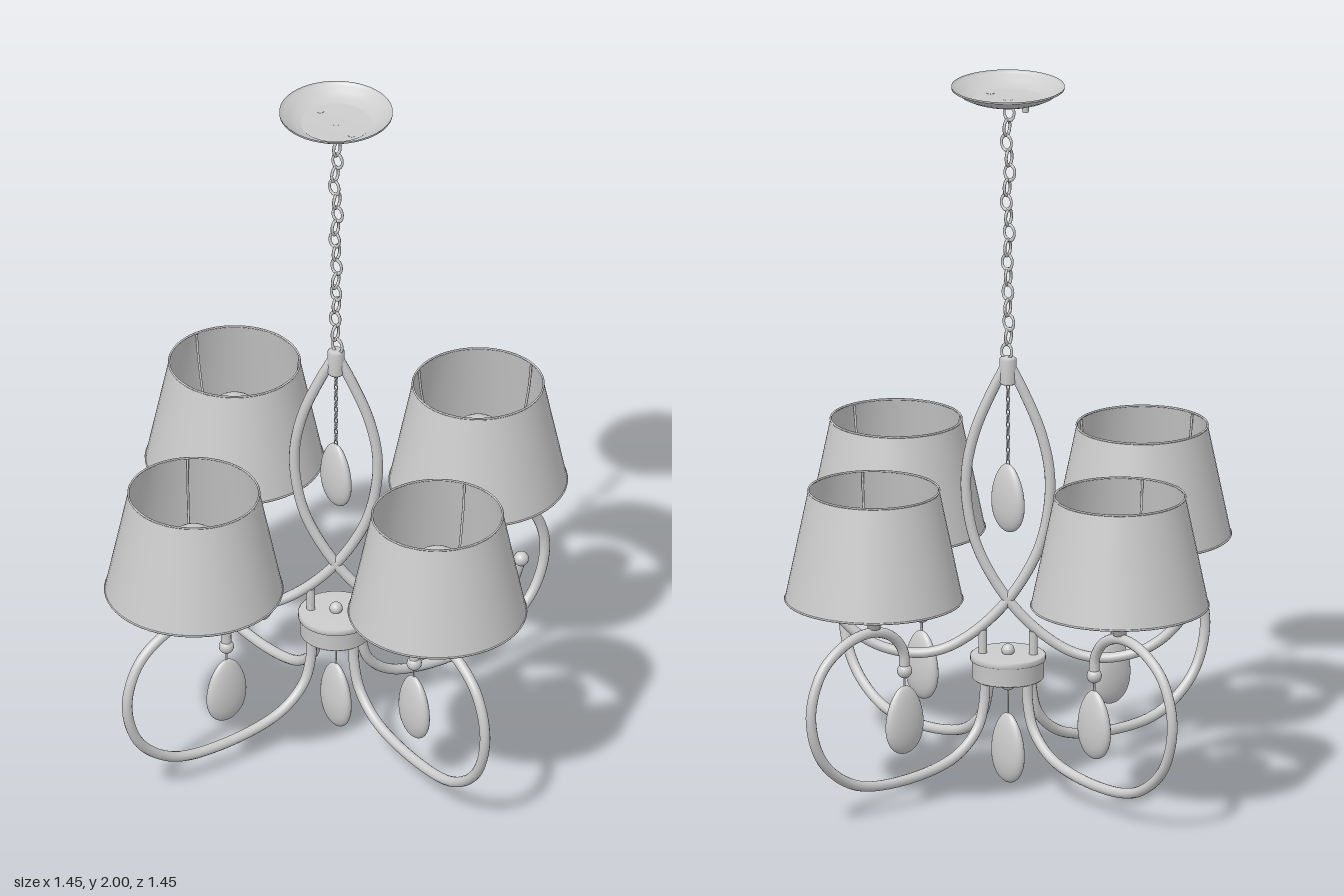
import * as THREE from 'three';

const grey = new THREE.MeshStandardMaterial({ color: 0xcccccc });
const thin = new THREE.MeshStandardMaterial({ color: 0xcccccc, side: THREE.DoubleSide });

function add(parent, name, geometry, x = 0, y = 0, z = 0, material = grey) {
  const mesh = new THREE.Mesh(geometry, material);
  mesh.name = name;
  mesh.position.set(x, y, z);
  parent.add(mesh);
  return mesh;
}

const lathe = (pts, sides = 40) =>
  new THREE.LatheGeometry(pts.map(([r, y]) => new THREE.Vector2(r, y)), sides);

// Round bar through points given in the XY plane
function bar(pts, radius, segments = 90, sides = 12) {
  const curve = new THREE.CatmullRomCurve3(pts.map(([x, y]) => new THREE.Vector3(x, y, 0)), false, 'centripetal');
  return new THREE.TubeGeometry(curve, segments, radius, sides);
}

// Oval chain hanging from y = top to y = bottom, each link turned a quarter from the last
function chain(parent, name, top, bottom, count, width, wire, sway) {
  const group = new THREE.Group();
  group.name = name;
  const step = (top - bottom) / count;
  const link = new THREE.TorusGeometry(width, wire, 6, 18);
  link.scale(1, (step * 0.5 + wire * 1.5) / (width + wire), 1);
  for (let i = 0; i < count; i++) {
    const mesh = add(group, 'chainLink', link, sway * Math.sin(i * 1.3), top - (i + 0.5) * step, sway * Math.cos(i * 1.7));
    mesh.rotation.y = (i % 2) * Math.PI / 2 + 0.35;
    mesh.rotation.z = sway * 25 * Math.sin(i * 2.1);
  }
  parent.add(group);
}

// Flattened teardrop, 0.195 tall, hanging down from its origin
function pendantGeometry() {
  const pts = [];
  for (let i = 0; i <= 24; i++) {
    const a = (i / 24) * Math.PI;
    pts.push([0.064 * Math.sin(a) * (1 - 0.16 * Math.cos(Math.PI - a)), -0.0975 - 0.0975 * Math.cos(a)]);
  }
  const g = lathe(pts, 28);
  g.scale(1, 1, 0.4);
  return g;
}
const pendant = pendantGeometry();

// One lamp on its scroll arm, pointing along +x
function makeArm() {
  const arm = new THREE.Group();
  arm.name = 'lampArm';
  add(arm, 'scrollArm', bar([
    [0.082, 0.32], [0.085, 0.25], [0.11, 0.175], [0.19, 0.11], [0.38, 0.078], [0.55, 0.1], [0.665, 0.19],
    [0.705, 0.325], [0.665, 0.445], [0.58, 0.508], [0.49, 0.525], [0.415, 0.5], [0.375, 0.45], [0.37, 0.4],
  ], 0.0145));
  add(arm, 'armFinial', new THREE.SphereGeometry(0.021, 18, 12), 0.37, 0.393);
  add(arm, 'pendantWire', new THREE.CylinderGeometry(0.003, 0.003, 0.05, 6), 0.37, 0.362);
  add(arm, 'pendant', pendant, 0.37, 0.35);

  const lamp = new THREE.Group();
  lamp.name = 'lamp';
  lamp.position.x = 0.48;
  arm.add(lamp);
  add(lamp, 'socketCup', lathe([
    [0, 0.535], [0.018, 0.535], [0.018, 0.562], [0.034, 0.564], [0.042, 0.575], [0.044, 0.584], [0.056, 0.588],
    [0.066, 0.6], [0.07, 0.62], [0.074, 0.624], [0.074, 0.632], [0.045, 0.634], [0.045, 0.68], [0, 0.68],
  ]));
  add(lamp, 'bulb', new THREE.SphereGeometry(0.085, 28, 20), 0, 0.735);
  add(lamp, 'shade', lathe([[0.245, 0.62], [0.18, 0.935]], 56), 0, 0, 0, thin);
  for (const [r, y] of [[0.244, 0.622], [0.18, 0.933]]) {
    add(lamp, 'shadeRim', new THREE.TorusGeometry(r, 0.003, 6, 56), 0, y).rotation.x = Math.PI / 2;
  }
  // Three wires hold the shade from its upper rim
  for (let i = 0; i < 3; i++) {
    add(lamp, 'shadeWire', bar([[0.179, 0.93], [0.168, 0.84], [0.12, 0.68], [0.04, 0.636]], 0.0035, 20, 6))
      .rotation.y = i * Math.PI * 2 / 3;
  }
  return arm;
}

export function createModel() {
  const model = new THREE.Group();
  model.name = 'chandelier';

  // Ceiling plate: open dish with screws underneath
  add(model, 'ceilingPlate', lathe([
    [0, 1.962], [0.095, 1.962], [0.1, 1.966], [0.112, 1.968], [0.132, 1.978], [0.146, 1.99], [0.156, 1.994], [0.156, 2],
  ], 48), 0, 0, 0, thin);
  for (const x of [-0.075, 0.075]) {
    add(model, 'plateScrew', new THREE.CylinderGeometry(0.011, 0.009, 0.02, 14), x, 1.953);
  }
  add(model, 'plateHook', new THREE.CylinderGeometry(0.013, 0.01, 0.025, 16), 0, 1.95);
  chain(model, 'mainChain', 1.945, 1.215, 17, 0.016, 0.0042, 0.004);

  // Collar gathering the teardrop loop
  add(model, 'collar', lathe([
    [0, 1.222], [0.018, 1.222], [0.024, 1.216], [0.024, 1.15], [0.02, 1.145], [0, 1.145],
  ].reverse(), 24));

  // Teardrop loop of two crossing bars on the diagonal
  const loop = new THREE.Group();
  loop.name = 'teardropLoop';
  loop.rotation.y = Math.PI / 4;
  model.add(loop);
  for (const side of [1, -1]) {
    add(loop, 'loopBar', bar([
      [0.01, 1.19], [0.045, 1.12], [0.09, 1.01], [0.114, 0.9], [0.113, 0.8], [0.083, 0.67], [0, 0.525],
      [-0.1, 0.425], [-0.19, 0.375], [-0.28, 0.366], [-0.39, 0.4], [-0.475, 0.48], [-0.515, 0.59],
    ].map(([x, y]) => [x * side, y]), 0.0145));
    add(loop, 'loopFinial', new THREE.SphereGeometry(0.021, 18, 12), side * 0.516, 0.596);
    add(loop, 'loopPin', new THREE.CylinderGeometry(0.012, 0.012, 0.075, 14), side * 0.07, 0.4);
  }

  // Pendant inside the loop
  chain(model, 'innerChain', 1.145, 0.91, 13, 0.005, 0.002, 0);
  add(model, 'innerPendant', pendant, 0, 0.915);

  // Central hub and the pendant below it
  add(model, 'hub', lathe([
    [0, 0.3], [0.095, 0.3], [0.099, 0.304], [0.099, 0.352], [0.104, 0.355], [0.104, 0.368], [0.1, 0.371], [0, 0.371],
  ], 48));
  add(model, 'hubTopKnob', new THREE.SphereGeometry(0.018, 16, 12), 0, 0.38);
  add(model, 'hubBottomKnob', new THREE.SphereGeometry(0.022, 16, 12), 0, 0.287);
  add(model, 'pendantWire', new THREE.CylinderGeometry(0.003, 0.003, 0.09, 6), 0, 0.24);
  add(model, 'lowerPendant', pendant, 0, 0.2).scale.y = 1.02;

  // Four lamp arms
  for (let i = 0; i < 4; i++) {
    const arm = makeArm();
    arm.rotation.y = i * Math.PI / 2;
    model.add(arm);
  }
  return model;
}
